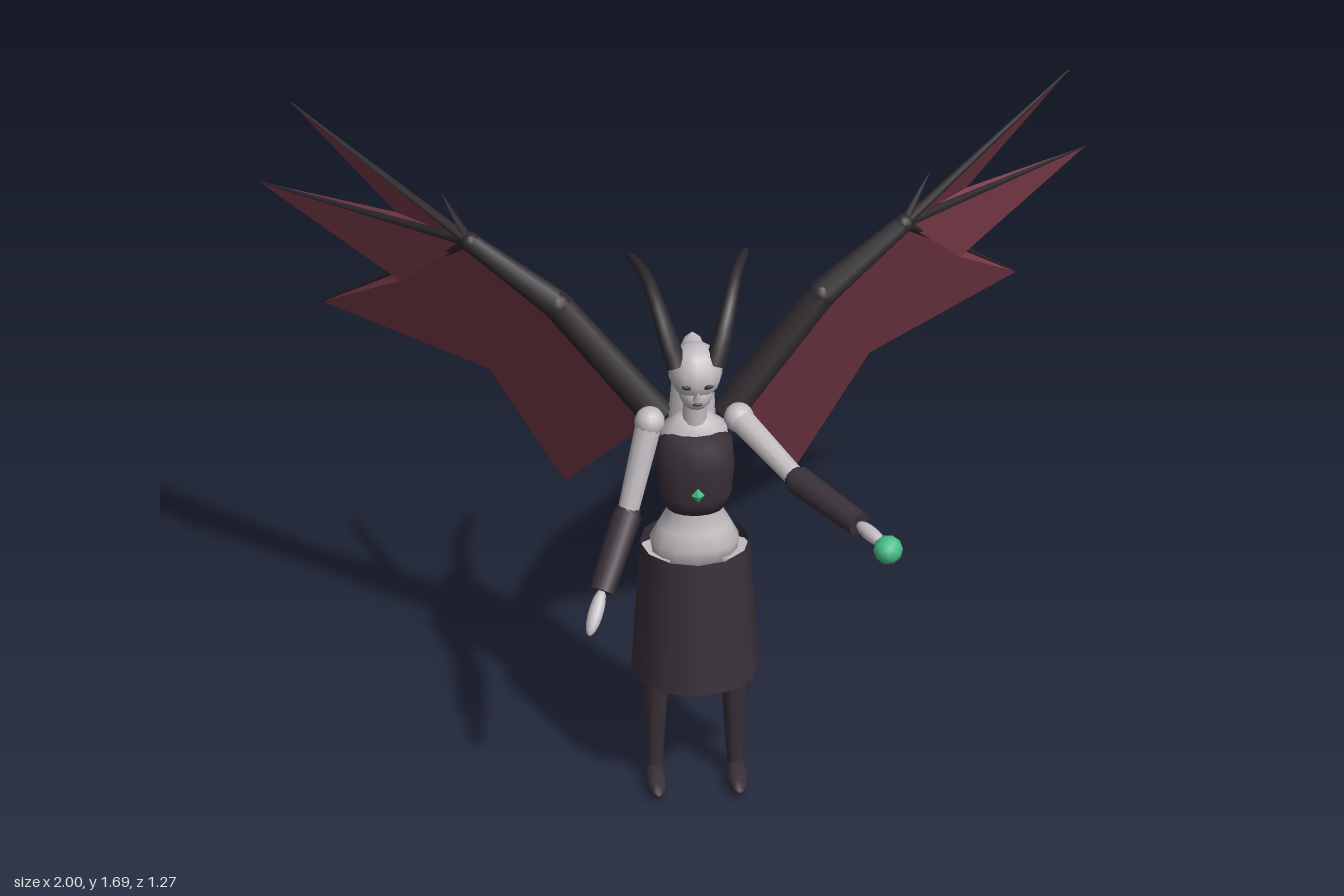
import * as THREE from 'three';

const mat = (name, color, side = THREE.FrontSide) => {
  const m = new THREE.MeshStandardMaterial({ color, side });
  m.name = name;
  return m;
};
const V = (x, y, z) => new THREE.Vector3(x, y, z);

export function createModel() {
  const root = new THREE.Group();
  root.name = 'wingedFigure';
  const skin = mat('paleSkin', 0xc2bdc1);
  const cloth = mat('darkCloth', 0x3a3039);
  const skirtCloth = mat('skirtCloth', 0x3a3039, THREE.DoubleSide);
  const bone = mat('darkHorn', 0x2c272b);
  const membrane = mat('wingMembrane', 0x7c3c4b, THREE.DoubleSide);
  const green = mat('greenCrystal', 0x48bd88);

  const add = (name, geo, material, pos, parent = root) => {
    const m = new THREE.Mesh(geo, material);
    m.name = name;
    if (pos) m.position.copy(pos);
    parent.add(m);
    return m;
  };
  const ball = (name, material, pos, rx, ry = rx, rz = rx) => {
    const m = add(name, new THREE.SphereGeometry(1, 12, 9), material, pos);
    m.scale.set(rx, ry, rz);
    return m;
  };
  // Tapered limb from a to b
  const limb = (name, material, a, b, ra, rb, sides = 10) => {
    const d = b.clone().sub(a);
    const m = add(name, new THREE.CylinderGeometry(rb, ra, d.length(), sides), material,
      a.clone().add(b).multiplyScalar(0.5));
    m.quaternion.setFromUnitVectors(V(0, 1, 0), d.normalize());
    return m;
  };
  // Curved tube whose radius shrinks from r0 to r1
  const taperedTube = (name, material, points, r0, r1) => {
    const n = 10, sides = 8;
    const curve = new THREE.CatmullRomCurve3(points);
    const geo = new THREE.TubeGeometry(curve, n, 1, sides);
    const p = geo.attributes.position, v = V(0, 0, 0);
    for (let i = 0; i < p.count; i++) {
      const t = Math.floor(i / (sides + 1)) / n;
      const c = curve.getPointAt(t);
      v.fromBufferAttribute(p, i).sub(c).multiplyScalar(r0 + (r1 - r0) * t).add(c);
      p.setXYZ(i, v.x, v.y, v.z);
    }
    geo.computeVertexNormals();
    return add(name, geo, material);
  };
  const lathe = (name, material, profile, z, depth) => {
    const geo = new THREE.LatheGeometry(profile.map(([r, y]) => new THREE.Vector2(r, y)), 14);
    const m = add(name, geo, material, V(0, 0, z));
    m.scale.z = depth;
    return m;
  };

  // Body
  lathe('torso', skin, [[0.001, 0.6], [0.1, 0.62], [0.11, 0.68], [0.09, 0.72], [0.064, 0.77],
    [0.075, 0.85], [0.088, 0.93], [0.08, 1.0], [0.04, 1.03], [0.001, 1.04]], 0.135, 0.7);
  lathe('corset', cloth, [[0.001, 0.785], [0.07, 0.79], [0.088, 0.83], [0.096, 0.92],
    [0.09, 0.98], [0.06, 1.0], [0.001, 1.0]], 0.168, 0.7);
  const gem = add('chestGem', new THREE.OctahedronGeometry(0.02), green, V(0, 0.865, 0.243));
  gem.scale.set(0.8, 1, 0.6);
  limb('neck', skin, V(0, 0.98, 0.14), V(0, 1.11, 0.15), 0.032, 0.028);

  // Head
  ball('head', skin, V(0, 1.175, 0.165), 0.066, 0.072, 0.07);
  ball('jaw', skin, V(0, 1.125, 0.18), 0.042, 0.046, 0.048);
  const nose = add('nose', new THREE.ConeGeometry(0.012, 0.035, 6), skin, V(0, 1.145, 0.235));
  nose.rotation.x = 0.5;
  ball('mouth', cloth, V(0, 1.115, 0.227), 0.012, 0.004, 0.004);
  const hair = ball('longHair', skin, V(0, 0.95, 0.062), 0.058, 0.275, 0.034);
  hair.rotation.x = 0.03;

  // Skirt, open at both ends
  const skirt = add('skirt', new THREE.CylinderGeometry(0.133, 0.155, 0.35, 12, 1, true),
    skirtCloth, V(0, 0.5, 0.147));
  skirt.rotation.x = -0.04;
  skirt.rotation.x *= -1;
  skirt.rotation.x = -0.05;

  for (const s of [-1, 1]) {
    const P = (x, y, z) => V(s * x, y, z);
    // Face and horns
    const eye = ball('eye', cloth, P(0.027, 1.165, 0.229), 0.012, 0.006, 0.004);
    eye.rotation.z = s * 0.3;
    taperedTube('horn', bone, [P(0.045, 1.2, 0.185), P(0.065, 1.26, 0.16), P(0.085, 1.32, 0.115),
      P(0.11, 1.365, 0.03), P(0.135, 1.365, -0.05), P(0.14, 1.35, -0.085)], 0.026, 0.009);

    // Legs and feet
    limb('thigh', skin, P(0.08, 0.65, 0.14), P(0.095, 0.36, 0.147), 0.055, 0.036);
    limb('stocking', cloth, P(0.094, 0.37, 0.147), P(0.098, 0.03, 0.145), 0.036, 0.02);
    ball('heel', cloth, P(0.098, 0.035, 0.145), 0.022, 0.024, 0.022);
    ball('foot', cloth, P(0.098, 0.03, 0.2), 0.025, 0.024, 0.077);

    // Wings
    const base = P(0.08, 0.98, 0.06), wrist = P(0.525, 1.4, -0.1);
    const elbow = P(0.32, 1.26, -0.02);
    const tips = [P(0.94, 1.69, -0.3), P(1, 1.31, -0.55), P(0.84, 0.905, -0.635)];
    const edge = [tips[0], P(0.69, 1.385, -0.27), tips[1], P(0.677, 1.168, -0.3), tips[2],
      P(0.46, 0.893, -0.32), P(0.275, 0.55, -0.34), base, elbow];
    const tri = [];
    for (let i = 0; i < edge.length - 1; i++) tri.push(wrist, edge[i], edge[i + 1]);
    const sheet = new THREE.BufferGeometry().setFromPoints(tri);
    sheet.computeVertexNormals();
    add('wingMembrane', sheet, membrane);
    limb('wingUpperArm', bone, base, elbow, 0.042, 0.037, 8);
    ball('wingElbow', bone, elbow, 0.037);
    limb('wingForearm', bone, elbow, wrist, 0.037, 0.024, 8);
    ball('wingWrist', bone, wrist, 0.025);
    for (const tip of tips) limb('wingFinger', bone, wrist, tip, 0.014, 0.002, 6);
    limb('wingClaw', bone, wrist, P(0.59, 1.515, -0.14), 0.014, 0.001, 6);
  }

  // Arms: the left reaches forward, the right hangs down
  const arms = [
    [V(0.108, 1.012, 0.13), V(0.235, 0.945, 0.315), V(0.37, 0.922, 0.49), V(0.42, 0.916, 0.57)],
    [V(-0.108, 1.012, 0.13), V(-0.166, 0.79, 0.19), V(-0.237, 0.64, 0.3), V(-0.272, 0.565, 0.37)],
  ];
  for (const [shoulder, elbow, wrist, hand] of arms) {
    ball('shoulder', skin, shoulder, 0.037);
    limb('upperArm', skin, shoulder, elbow, 0.033, 0.026);
    ball('elbow', cloth, elbow, 0.031);
    limb('glove', cloth, elbow, wrist, 0.036, 0.031);
    const palm = ball('hand', skin, wrist.clone().lerp(hand, 0.5), 0.019,
      wrist.distanceTo(hand) * 0.56, 0.019);
    palm.quaternion.setFromUnitVectors(V(0, 1, 0), hand.clone().sub(wrist).normalize());
  }
  add('crystalOrb', new THREE.IcosahedronGeometry(0.036, 1), green, V(0.432, 0.915, 0.598));

  return root;
}
